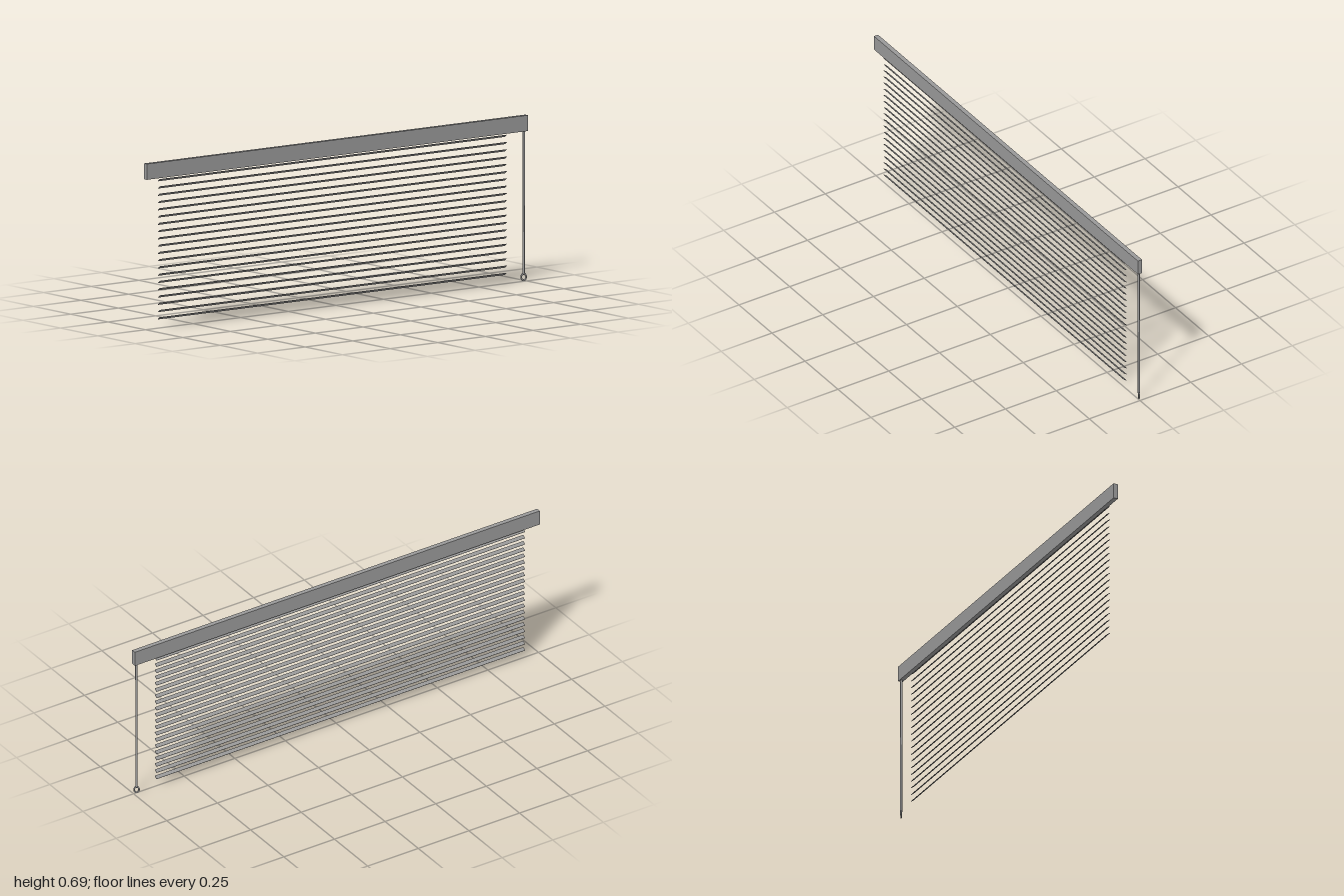
import * as THREE from 'three';

const material = new THREE.MeshStandardMaterial({ color: 0x999999 });

function add(parent, name, geometry, x, y, z) {
  const mesh = new THREE.Mesh(geometry, material);
  mesh.name = name;
  mesh.position.set(x, y, z);
  parent.add(mesh);
  return mesh;
}

export function createModel() {
  const blind = new THREE.Group();
  blind.name = 'venetianBlind';

  // Head rail
  add(blind, 'headRail', new THREE.BoxGeometry(2, 0.066, 0.02), 0, 0.662, 0);

  // Tilted slats, front edge raised
  const slats = new THREE.Group();
  slats.name = 'slats';
  blind.add(slats);
  const slatGeometry = new THREE.BoxGeometry(1.82, 0.002, 0.016);
  const count = 20;
  for (let i = 0; i < count; i++) {
    const y = THREE.MathUtils.lerp(0.041, 0.619, i / (count - 1));
    const slat = add(slats, 'slat', slatGeometry, -0.02, y, 0.001);
    slat.rotation.x = -0.62;
  }

  // Tilt wand, hanging very slightly off vertical
  const wand = new THREE.Group();
  wand.name = 'tiltWand';
  blind.add(wand);
  const path = new THREE.LineCurve3(
    new THREE.Vector3(0.987, 0.635, -0.0015),
    new THREE.Vector3(0.987, 0.03, -0.003)
  );
  add(wand, 'wandRod', new THREE.TubeGeometry(path, 1, 0.0048, 12, false), 0, 0, 0);

  // Oval pull ring at the end of the wand
  const ring = add(wand, 'pullRing', new THREE.TorusGeometry(0.0103, 0.0033, 10, 24), 0.987, 0.0177, -0.003);
  ring.scale.y = 1.3;
  ring.rotation.y = -0.5;

  return blind;
}
